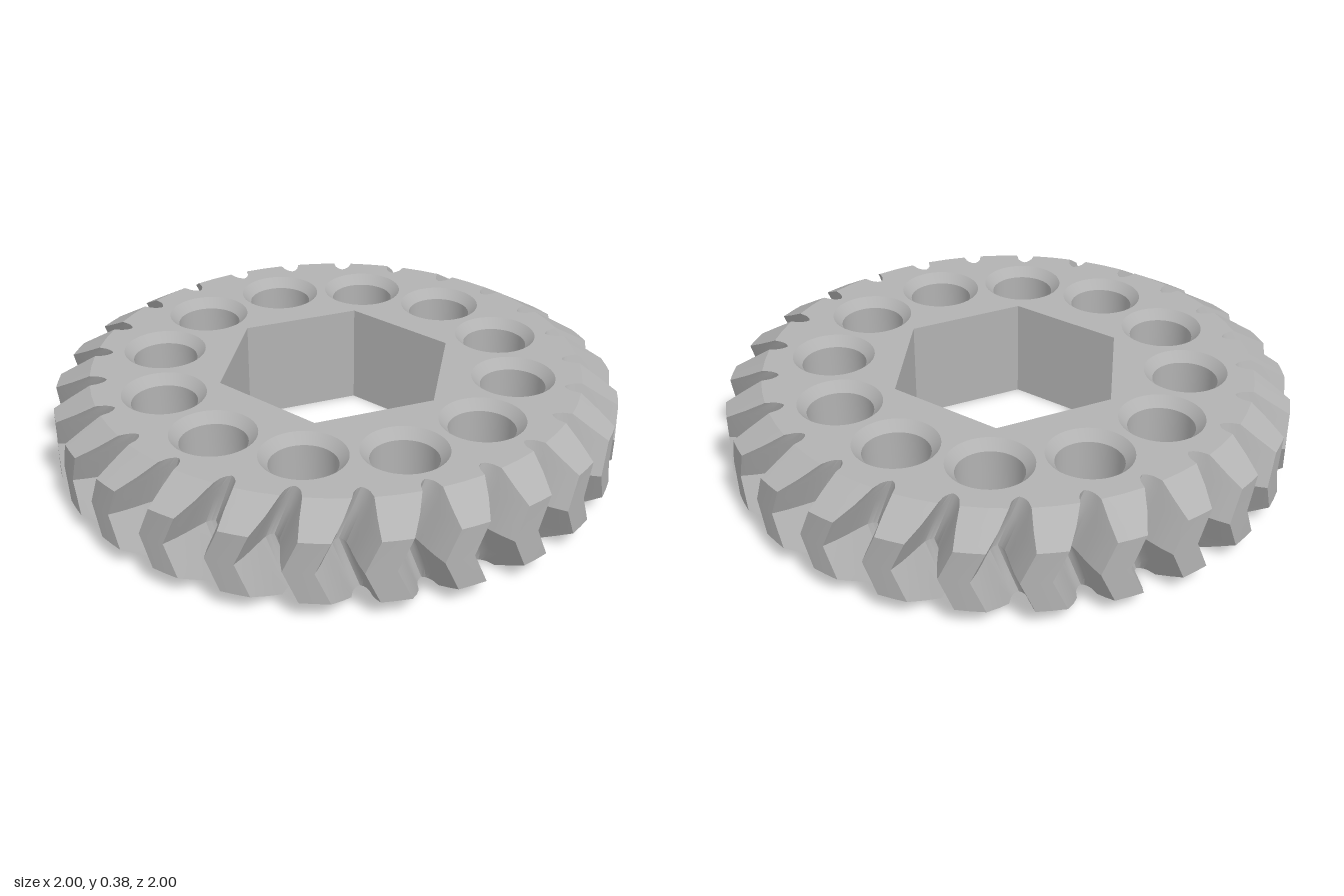
import * as THREE from 'three';
import { toCreasedNormals } from 'three/addons/utils/BufferGeometryUtils.js';

const H = 0.375, TEETH = 25, PITCH = (Math.PI * 2) / TEETH;
const ROOT = 0.81, FACE_R = 0.87, BEVEL = 0.075;
const PHASE = 0.05, SWEEP = 0.083;
const HEX_R = 0.43, HOLE_RING = 0.63, HOLE_R = 0.115, SINK_R = 0.147, SINK_D = 0.035;

// Half the angular width of a tooth at radius r
const FLANK = [[0.81, 0.1257], [0.82, 0.106], [0.84, 0.094], [0.9, 0.079], [0.95, 0.066], [1, 0.05]];
function halfAngle(r) {
  for (let i = 1; i < FLANK.length; i++) {
    const [r0, a0] = FLANK[i - 1], [r1, a1] = FLANK[i];
    if (r <= r1) return a0 + ((a1 - a0) * (r - r0)) / (r1 - r0);
  }
  return 0.05;
}

// Toothed outline as [radius, angle] pairs, cut off at rMax and turned by twist
function outline(rMax, twist) {
  const steps = [0.04, 0.12, 0.3, 0.5, 0.75, 1];
  const points = [];
  for (let k = 0; k < TEETH; k++) {
    const centre = PHASE + twist + k * PITCH;
    points.push([ROOT, centre - PITCH / 2]);
    const side = steps.map((f) => ROOT + f * (rMax - ROOT));
    side.forEach((r) => points.push([r, centre - halfAngle(r)]));
    points.push([rMax, centre]);
    side.reverse().forEach((r) => points.push([r, centre + halfAngle(r)]));
  }
  return points;
}

// Herringbone rim: outlines stacked in height, swept to the middle and back
function rimGeometry() {
  const levels = [0, BEVEL / 2, BEVEL, H / 2, H - BEVEL, H - BEVEL / 2, H];
  const rings = levels.map((y) => {
    const edge = Math.min(y, H - y);
    const rMax = FACE_R + (1 - FACE_R) * Math.min(1, edge / BEVEL);
    return outline(rMax, (-SWEEP * edge) / (H / 2));
  });
  const n = rings[0].length, position = [], index = [];
  rings.forEach((ring, j) => ring.forEach(([r, t]) =>
    position.push(r * Math.cos(t), levels[j], -r * Math.sin(t))));
  for (let j = 0; j < levels.length - 1; j++) {
    for (let i = 0; i < n; i++) {
      const a = j * n + i, b = j * n + ((i + 1) % n);
      index.push(a, b, b + n, a, b + n, a + n);
    }
  }
  const geometry = new THREE.BufferGeometry();
  geometry.setAttribute('position', new THREE.Float32BufferAttribute(position, 3));
  geometry.setIndex(index);
  return toCreasedNormals(geometry, 0.6);
}

// Flat end face with the hexagon and round holes; s is 1 for top, -1 for bottom
function faceGeometry(s) {
  const shape = new THREE.Shape(outline(FACE_R, 0).map(([r, t]) =>
    new THREE.Vector2(r * Math.cos(t), s * r * Math.sin(t))));
  const ringPath = (cx, cy, r, sides) => {
    const pts = [];
    for (let i = 0; i < sides; i++) {
      const a = (i / sides) * Math.PI * 2;
      pts.push(new THREE.Vector2(cx + r * Math.cos(a), cy + r * Math.sin(a)));
    }
    return new THREE.Path(pts);
  };
  shape.holes.push(ringPath(0, 0, HEX_R, 6));
  for (let i = 0; i < 12; i++) {
    const a = (i * Math.PI) / 6;
    shape.holes.push(ringPath(HOLE_RING * Math.cos(a), HOLE_RING * Math.sin(a), SINK_R, 48));
  }
  return new THREE.ShapeGeometry(shape).rotateX((-s * Math.PI) / 2);
}

// Inward-facing wall, its profile listed from top to bottom
function boreGeometry(profile, sides) {
  const points = profile.map(([r, y]) => new THREE.Vector2(r, y));
  return toCreasedNormals(new THREE.LatheGeometry(points, sides, Math.PI / 2), 0.6);
}

export function createModel() {
  const gear = new THREE.Group();
  gear.name = 'herringboneGear';
  const steel = new THREE.MeshStandardMaterial({ color: 0xb2b2b2 });
  steel.name = 'grey steel';
  const add = (name, geometry) => {
    const mesh = new THREE.Mesh(geometry, steel);
    mesh.name = name;
    gear.add(mesh);
    return mesh;
  };

  add('toothedRim', rimGeometry());
  add('topFace', faceGeometry(1)).position.y = H;
  add('bottomFace', faceGeometry(-1));
  add('hexBore', boreGeometry([[HEX_R, H], [HEX_R, 0]], 6));

  // Countersunk lightening holes
  const hole = boreGeometry(
    [[SINK_R, H], [HOLE_R, H - SINK_D], [HOLE_R, SINK_D], [SINK_R, 0]], 48);
  for (let i = 0; i < 12; i++) {
    const a = (i * Math.PI) / 6;
    add('lighteningHole' + (i + 1), hole)
      .position.set(HOLE_RING * Math.cos(a), 0, HOLE_RING * Math.sin(a));
  }
  return gear;
}
